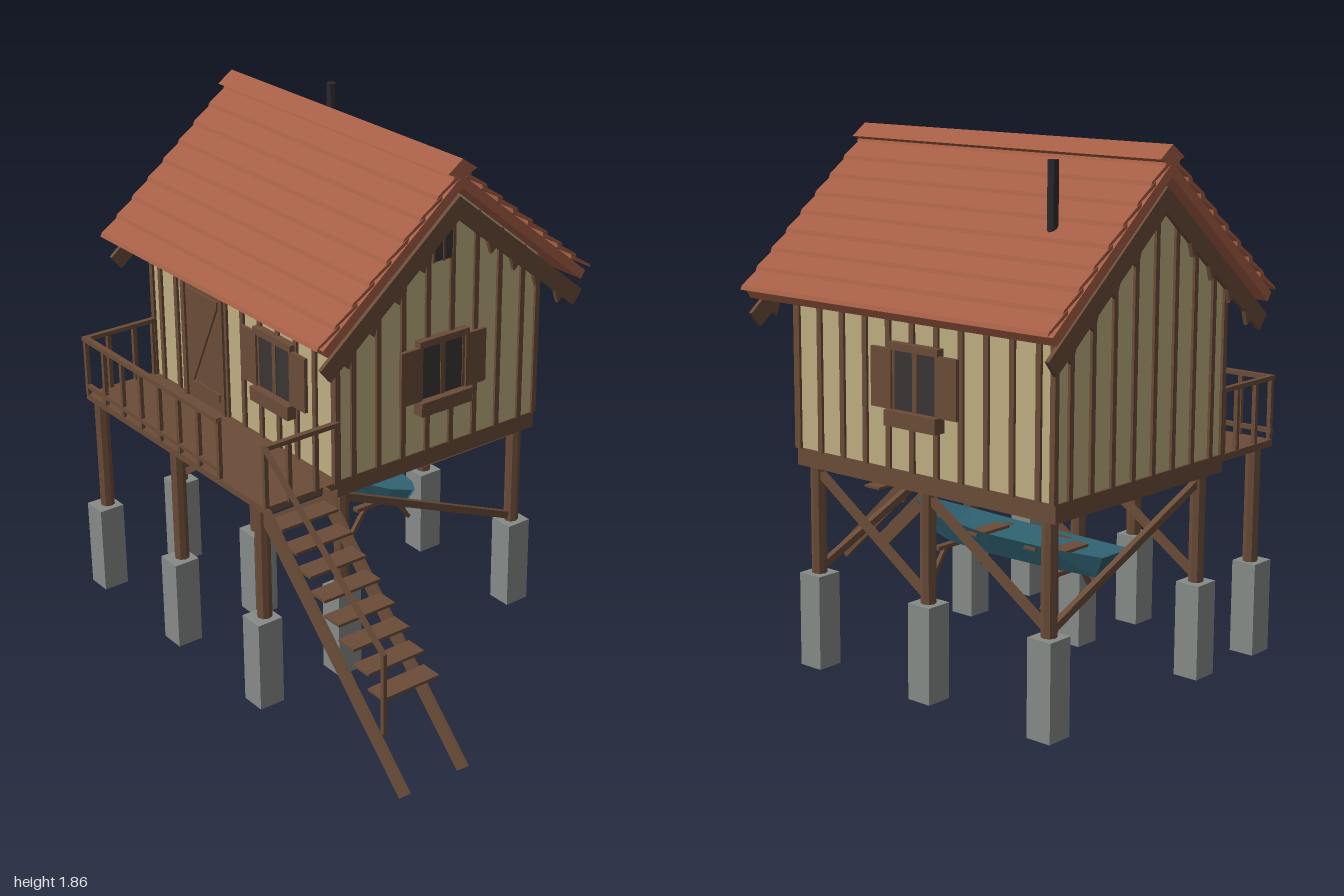
import * as THREE from 'three';

const paint = (name, color, side = THREE.FrontSide) => {
  const m = new THREE.MeshStandardMaterial({ color, side });
  m.name = name;
  return m;
};

export function createModel() {
  const root = new THREE.Group();
  root.name = 'stiltHouse';
  const wood = paint('brown wood', 0x6b4c38);
  const plaster = paint('cream wall', 0xbfae82);
  const tile = paint('terracotta', 0xa55e45);
  const concrete = paint('concrete', 0x868b88);
  const teal = paint('teal hull', 0x2f6170, THREE.DoubleSide);
  const glass = paint('dark glass', 0x3b3535);
  const iron = paint('black iron', 0x2a2a2d);

  const add = (name, geo, mat, parent = root) => {
    const m = new THREE.Mesh(geo, mat);
    m.name = name;
    parent.add(m);
    return m;
  };
  const box = (name, mat, w, h, d, x, y, z, parent) => {
    const m = add(name, new THREE.BoxGeometry(w, h, d), mat, parent);
    m.position.set(x, y, z);
    return m;
  };
  // Straight timber from a to b
  const beam = (name, a, b, w, h, parent = root, mat = wood) => {
    const p = new THREE.Vector3(...a), q = new THREE.Vector3(...b);
    const m = add(name, new THREE.BoxGeometry(w, h, p.distanceTo(q)), mat, parent);
    m.position.copy(p).lerp(q, 0.5);
    m.lookAt(q);
    return m;
  };
  const facet = (geo) => {
    const g = geo.toNonIndexed();
    g.computeVertexNormals();
    return g;
  };
  const rod = (name, mat, r, y0, y1, x, z) => {
    const m = add(name, facet(new THREE.CylinderGeometry(r, r, y1 - y0, 8)), mat);
    m.position.set(x, (y0 + y1) / 2, z);
  };
  // Profile in (z, y), extruded along x from x0 to x1
  const extrudeX = (name, mat, pts, x0, x1) => {
    const shape = new THREE.Shape(pts.map((p) => new THREE.Vector2(...p)));
    const g = new THREE.ExtrudeGeometry(shape, { depth: x1 - x0, bevelEnabled: false });
    g.rotateY(-Math.PI / 2).translate(x1, 0, 0);
    return add(name, g, mat);
  };

  const X0 = -0.9, X1 = 0.225, ZF = 0.355, ZB = -0.53, RIDGE = -0.09, SLOPE = 0.821;
  const under = (z) => 1.758 - SLOPE * Math.abs(z - RIDGE);

  // Footings and posts
  const cols = [-0.85, -0.335, 0.18], rows = [0.645, 0.305, -0.485];
  for (const x of cols) for (const z of rows) {
    box('footing', concrete, 0.095, 0.335, 0.098, x, 0.1675, z);
    rod('post', wood, 0.027, 0.335, 0.755, x, z === 0.645 ? 0.635 : z);
  }
  // Diagonal braces
  for (const z of [0.305, -0.485]) {
    beam('brace', [-0.85, 0.355, z], [-0.335, 0.7, z], 0.022, 0.026);
    beam('brace', [-0.335, 0.355, z], [0.18, 0.7, z], 0.022, 0.026);
  }
  for (const x of [-0.85, 0.18]) beam('sideBrace', [x, 0.35, -0.485], [x, 0.69, 0.305], 0.022, 0.026);

  // Floor frame, deck, walls
  box('floorFrame', wood, 1.14, 0.062, 0.89, -0.34, 0.751, -0.0875);
  box('porchDeck', wood, 1.145, 0.025, 0.31, -0.3375, 0.768, 0.505);
  extrudeX('walls', plaster, [[ZB, 0.78], [ZF, 0.78], [ZF, under(ZF)], [RIDGE, 1.757], [ZB, under(ZB)]], X0, X1);

  // Battens
  const batten = (x, z, top, alongX) =>
    box('batten', wood, alongX ? 0.02 : 0.012, top - 0.78, alongX ? 0.012 : 0.02, x, (top + 0.78) / 2, z);
  for (let i = 0; i < 11; i++) {
    const x = -0.842 + i * 0.106;
    if (i !== 2 && i !== 3) batten(x, ZF + 0.004, 1.385, true);
    batten(x, ZB - 0.004, 1.385, true);
  }
  for (const x of [X0, X1]) for (let i = 0; i < 8; i++) {
    const z = 0.288 - i * 0.1065;
    batten(x + Math.sign(x) * 0.004, z, under(z) - 0.012, false);
  }
  for (const x of [X0, X1]) for (const z of [ZF, ZB]) box('cornerBoard', wood, 0.02, 0.6, 0.02, x, 1.08, z);

  // Roof sheathing, overlapping boards and ridge cap
  const R0 = -1, R1 = 0.33;
  extrudeX('roofDeck', tile, [[RIDGE - 0.555, 1.302], [RIDGE, 1.758], [RIDGE + 0.555, 1.302],
    [RIDGE + 0.575, 1.33], [RIDGE, 1.803], [RIDGE - 0.575, 1.33]], R0, R1);
  for (const s of [-1, 1]) for (let k = 0; k < 9; k++) {
    const d = 0.6 - 0.07 * k, y = 1.335 + 0.0575 * k, e = Math.max(d - 0.095, 0);
    const f = y + (d - e) * 0.62;
    extrudeX('roofBoard', tile, [[RIDGE + s * d, y], [RIDGE + s * (d - 0.007), y + 0.014],
      [RIDGE + s * e, f + 0.012], [RIDGE + s * e, f - 0.004]], R0, R1);
  }
  extrudeX('ridgeCap', tile, [[RIDGE - 0.062, 1.815], [RIDGE, 1.79], [RIDGE + 0.062, 1.815], [RIDGE, 1.858]], R0, R1);

  // Toothed barge boards under the roof ends
  const low = (d) => 1.644 - SLOPE * d;
  const half = [[0.575, 1.255], [0.535, 1.205]];
  for (let d = 0.46; d > 0.05; d -= 0.105) half.push([d + 0.02, low(d + 0.02)], [d, low(d) - 0.035], [d - 0.015, low(d - 0.015)]);
  const barge = [[RIDGE, 1.727], ...half.map(([d, y]) => [RIDGE + d, y]), [RIDGE, 1.644],
    ...half.reverse().map(([d, y]) => [RIDGE - d, y])];
  for (const x of [-0.985, 0.303]) extrudeX('bargeBoard', wood, barge, x, x + 0.015);

  // Stove pipe
  rod('stovePipe', iron, 0.018, 1.45, 1.815, -0.75, -0.365);

  // Shuttered windows with flower boxes, modelled facing +z
  const windowAt = (x, z, turn) => {
    const g = new THREE.Group();
    g.name = 'window';
    g.position.set(x, 0, z);
    g.rotation.y = turn;
    root.add(g);
    box('pane', glass, 0.19, 0.2, 0.008, 0, 1.085, 0.012, g);
    box('mullion', wood, 0.02, 0.2, 0.012, 0, 1.085, 0.014, g);
    box('lintel', wood, 0.22, 0.025, 0.03, 0, 1.197, 0.015, g);
    for (const s of [-1, 1]) {
      box('jamb', wood, 0.014, 0.2, 0.018, s * 0.095, 1.085, 0.01, g);
      box('shutter', wood, 0.09, 0.2, 0.014, s * 0.143, 1.087, 0.02, g);
    }
    box('flowerBox', wood, 0.225, 0.052, 0.046, 0, 0.961, 0.023, g);
  };
  windowAt(-0.105, ZF, 0);
  windowAt(-0.335, ZB, Math.PI);
  windowAt(X1, RIDGE, Math.PI / 2);

  // Attic window
  box('atticPane', glass, 0.008, 0.13, 0.085, X1 + 0.011, 1.545, RIDGE);
  for (const z of [-0.043, 0, 0.043]) box('atticBar', wood, 0.018, 0.135, 0.009, X1 + 0.009, 1.545, RIDGE + z);

  // Door
  box('doorLeaf', wood, 0.225, 0.49, 0.012, -0.555, 1.025, ZF + 0.004);
  for (const s of [-1, 1]) box('doorJamb', wood, 0.022, 0.5, 0.026, -0.555 + s * 0.122, 1.03, ZF + 0.006);
  box('doorHead', wood, 0.266, 0.022, 0.026, -0.555, 1.275, ZF + 0.006);
  for (const y of [0.84, 1.2]) box('doorLedge', wood, 0.2, 0.03, 0.012, -0.555, y, ZF + 0.012);
  beam('doorBrace', [-0.64, 0.85, ZF + 0.012], [-0.47, 1.19, ZF + 0.012], 0.012, 0.026);

  // Porch railing
  box('topRail', wood, 0.88, 0.016, 0.022, -0.47, 1.0, 0.655);
  box('lowRail', wood, 0.88, 0.016, 0.014, -0.47, 0.812, 0.655);
  for (let i = 0; i < 8; i++) box('baluster', wood, 0.016, 0.22, 0.014, -0.9 + i * 0.1235, 0.89, 0.655);
  for (const x of [-0.9, 0.235]) {
    box('sideRail', wood, 0.02, 0.016, 0.305, x, 1.0, 0.508);
    for (const z of [0.655, 0.56, 0.45, 0.368]) box('sideBaluster', wood, 0.015, 0.23, 0.016, x, 0.89, z);
  }

  // Stairs with one handrail
  for (const z of [0.658, 0.416]) {
    extrudeX('stringer', wood, [[0, 0]], 0, 0).removeFromParent();
    const s = new THREE.Shape([[0.23, 0.715], [0.953, 0.035], [0.998, 0.075], [0.26, 0.78], [0.23, 0.78]]
      .map((p) => new THREE.Vector2(...p)));
    add('stringer', new THREE.ExtrudeGeometry(s, { depth: 0.012, bevelEnabled: false }), wood)
      .position.z = z - 0.006;
  }
  for (let i = 0; i < 8; i++) box('tread', wood, 0.08, 0.01, 0.23, 0.28 + i * 0.0765, 0.73 - i * 0.0542, 0.537);
  beam('handrail', [0.235, 1.005, 0.658], [0.868, 0.525, 0.658], 0.014, 0.016);
  box('handrailPost', wood, 0.016, 0.295, 0.014, 0.865, 0.382, 0.658);

  // Rowing boat: sections of [topX, bottomX, topY, bottomY, topHalf, bottomHalf]
  const secs = [[-0.81, -0.76, 0.512, 0.43, 0.075, 0.045], [-0.58, -0.56, 0.507, 0.425, 0.095, 0.052],
    [-0.33, -0.33, 0.508, 0.424, 0.1, 0.055], [-0.1, -0.12, 0.52, 0.428, 0.085, 0.045],
    [0.02, -0.03, 0.535, 0.44, 0.05, 0.025], [0.09, 0.03, 0.546, 0.455, 0.006, 0.004]];
  const verts = [], idx = [];
  secs.forEach(([tx, bx, ty, by, th, bh], i) => {
    verts.push(tx, ty, RIDGE + th, bx, by, RIDGE + bh, bx, by, RIDGE - bh, tx, ty, RIDGE - th);
    if (i) for (let j = 0; j < 3; j++) {
      const a = i * 4 - 4 + j;
      idx.push(a, a + 1, a + 5, a, a + 5, a + 4);
    }
  });
  idx.push(0, 3, 2, 0, 2, 1);
  const hull = new THREE.BufferGeometry();
  hull.setAttribute('position', new THREE.Float32BufferAttribute(verts, 3));
  hull.setIndex(idx);
  add('boatHull', facet(hull), teal);
  for (const x of [-0.6, -0.25]) box('boatBench', wood, 0.06, 0.01, 0.16, x, 0.487, RIDGE);
  for (const s of [-1, 1]) for (const x of [-0.52, -0.26]) box('oarlock', wood, 0.05, 0.01, 0.012, x, 0.492, RIDGE + s * 0.093);

  // Trestles under the boat
  for (const x of [-0.61, -0.11]) {
    box('trestleTop', wood, 0.025, 0.014, 0.225, x, 0.415, RIDGE);
    for (const s of [-1, 1]) beam('trestleLeg', [x, 0.41, RIDGE + s * 0.065], [x, 0.307, RIDGE + s * 0.138], 0.016, 0.014);
  }
  return root;
}
